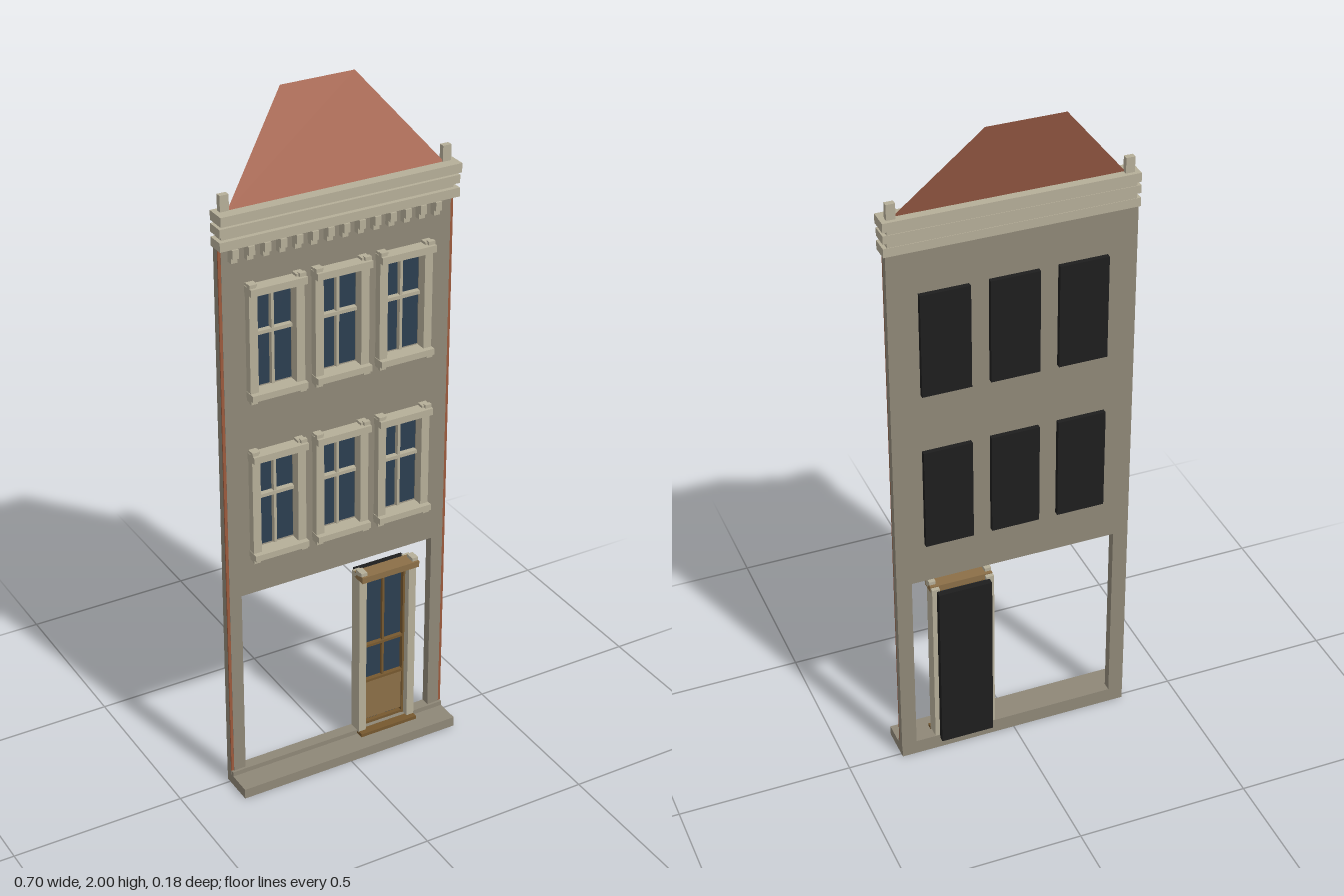
import * as THREE from 'three';

const mat = (name, color, extra = {}) => {
  const m = new THREE.MeshStandardMaterial({ color, ...extra });
  m.name = name;
  return m;
};

export function createModel() {
  const wall = mat('wall stone', 0x8e8777);
  const trim = mat('pale trim', 0xb5ae98);
  const roofTile = mat('roof tile', 0xa8644c, { side: THREE.DoubleSide });
  const brick = mat('brick edge', 0x9c5a3c);
  const glass = mat('blue glass', 0x2c3e50);
  const black = mat('black backing', 0x1e1e1e);
  const wood = mat('door wood', 0x8b6f47);
  const darkWood = mat('dark wood', 0x76582f);

  const model = new THREE.Group();
  model.name = 'townhouseFacade';

  // Box given by its limits on each axis
  function box(parent, name, material, x0, x1, y0, y1, z0, z1) {
    const mesh = new THREE.Mesh(new THREE.BoxGeometry(x1 - x0, y1 - y0, z1 - z0), material);
    mesh.position.set((x0 + x1) / 2, (y0 + y1) / 2, (z0 + z1) / 2);
    mesh.name = name;
    parent.add(mesh);
    return mesh;
  }

  const BACK = -0.013, FRONT = 0.013;
  const columns = [-0.1915, 0, 0.1915];
  const rows = [0.74, 1.222];
  const windowHeight = 0.305;

  // Wall with the shop opening and six window holes
  const outline = new THREE.Shape();
  [[-0.336, 0], [-0.3, 0], [-0.3, 0.615], [0.3, 0.615], [0.3, 0],
    [0.336, 0], [0.336, 1.745], [-0.336, 1.745]].forEach(([x, y], i) =>
    i ? outline.lineTo(x, y) : outline.moveTo(x, y));
  outline.closePath();
  for (const y of rows) for (const x of columns) {
    const hole = new THREE.Path();
    hole.moveTo(x - 0.06, y + 0.01);
    hole.lineTo(x - 0.06, y + windowHeight - 0.01);
    hole.lineTo(x + 0.06, y + windowHeight - 0.01);
    hole.lineTo(x + 0.06, y + 0.01);
    hole.closePath();
    outline.holes.push(hole);
  }
  const wallGeometry = new THREE.ExtrudeGeometry(outline, { depth: FRONT - BACK, bevelEnabled: false });
  wallGeometry.translate(0, 0, BACK);
  const wallMesh = new THREE.Mesh(wallGeometry, wall);
  wallMesh.name = 'frontWall';
  model.add(wallMesh);

  // Narrow side edges with a brick face
  for (const s of [-1, 1]) {
    const a = s * 0.336, b = s * 0.344;
    const x0 = Math.min(a, b), x1 = Math.max(a, b);
    box(model, 'sideEdge', wall, x0, x1, 0.03, 1.65, BACK, 0.008);
    box(model, 'brickStrip', brick, x0, x1, 0.045, 1.65, 0.008, 0.012);
  }

  // Stepped plinth
  box(model, 'plinthStep', wall, -0.343, 0.343, 0, 0.03, BACK, 0.09);
  box(model, 'plinthSill', wall, -0.343, 0.343, 0.03, 0.044, BACK, 0.02);

  // Cornice: three boards with recessed courses between
  const cornice = new THREE.Group();
  cornice.name = 'cornice';
  model.add(cornice);
  box(cornice, 'corniceCore', trim, -0.338, 0.338, 1.65, 1.74, -0.0135, 0.022);
  [[1.65, 1.675, 0.035], [1.688, 1.711, 0.035], [1.72, 1.746, 0.043]].forEach(([y0, y1, z]) =>
    box(cornice, 'corniceBoard', trim, -0.349, 0.349, y0, y1, -0.015, z));
  for (let i = 0; i < 14; i++) {
    const x = -0.308 + i * 0.0455;
    box(cornice, 'bracket', trim, x - 0.009, x + 0.009, 1.61, 1.65, FRONT, 0.03);
    box(cornice, 'bracketHead', trim, x - 0.009, x + 0.009, 1.625, 1.65, 0.03, 0.04);
  }
  for (const s of [-1, 1])
    box(cornice, 'cornerPost', trim, s * 0.322 - 0.0125, s * 0.322 + 0.0125, 1.745, 1.79, -0.004, 0.012);

  // Single sloping roof sheet
  const roofGeometry = new THREE.BufferGeometry();
  roofGeometry.setAttribute('position', new THREE.Float32BufferAttribute([
    -0.316, 1.743, 0.011, 0.316, 1.743, 0.011, 0.107, 2, -0.092, -0.107, 2, -0.092], 3));
  roofGeometry.setIndex([0, 1, 2, 0, 2, 3]);
  roofGeometry.computeVertexNormals();
  const roof = new THREE.Mesh(roofGeometry, roofTile);
  roof.name = 'roof';
  model.add(roof);

  // Window: backing box, glass, bars and stone surround
  function addWindow(cx, y) {
    const g = new THREE.Group();
    g.name = 'window';
    g.position.set(cx, y, 0);
    model.add(g);
    const top = windowHeight;
    box(g, 'backing', black, -0.069, 0.069, 0, top, -0.027, BACK + 0.001);
    box(g, 'glass', glass, -0.06, 0.06, 0.01, top - 0.01, -0.012, -0.004);
    box(g, 'mullion', trim, -0.004, 0.004, 0.01, top - 0.01, -0.004, 0.01);
    box(g, 'transom', trim, -0.057, 0.057, 0.163, 0.173, -0.004, 0.012);
    for (const s of [-1, 1]) {
      box(g, 'jamb', trim, s * 0.068 - 0.012, s * 0.068 + 0.012, -0.015, top + 0.015, 0.005, 0.035);
      box(g, 'upperBlock', trim, s * 0.072 - 0.0095, s * 0.072 + 0.0095, top - 0.01, top + 0.018, 0.03, 0.042);
      box(g, 'lowerBlock', trim, s * 0.072 - 0.0095, s * 0.072 + 0.0095, -0.017, 0.006, 0.03, 0.04);
    }
    box(g, 'lintel', trim, -0.0815, 0.0815, top - 0.012, top + 0.008, 0.005, 0.05);
    box(g, 'sill', trim, -0.0815, 0.0815, -0.006, 0.012, 0.005, 0.05);
  }
  for (const y of rows) for (const x of columns) addWindow(x, y);

  // Door with glazed upper part and wooden lower panel
  const door = new THREE.Group();
  door.name = 'door';
  door.position.x = 0.15;
  model.add(door);
  box(door, 'backing', black, -0.078, 0.078, 0.034, 0.565, -0.031, -0.012);
  box(door, 'glass', glass, -0.07, 0.07, 0.044, 0.558, -0.012, -0.003);
  box(door, 'lowerPanel', wood, -0.068, 0.068, 0.062, 0.195, -0.003, 0.006);
  box(door, 'mullion', darkWood, -0.0035, 0.0035, 0.195, 0.558, -0.003, 0.006);
  for (const y of [0.05, 0.195, 0.315, 0.553])
    box(door, 'rail', darkWood, -0.068, 0.068, y - 0.004, y + 0.004, -0.003, 0.01);
  for (const s of [-1, 1]) {
    box(door, 'stile', darkWood, s * 0.066 - 0.004, s * 0.066 + 0.004, 0.044, 0.558, -0.003, 0.01);
    box(door, 'jamb', trim, s * 0.08 - 0.0115, s * 0.08 + 0.0115, 0.04, 0.572, -0.012, 0.03);
    box(door, 'upperBlock', trim, s * 0.082 - 0.0095, s * 0.082 + 0.0095, 0.56, 0.585, 0.01, 0.04);
  }
  box(door, 'lintel', wood, -0.0915, 0.0915, 0.556, 0.575, 0, 0.046);
  box(door, 'threshold', darkWood, -0.0915, 0.0915, 0.034, 0.044, 0, 0.046);

  return model;
}
